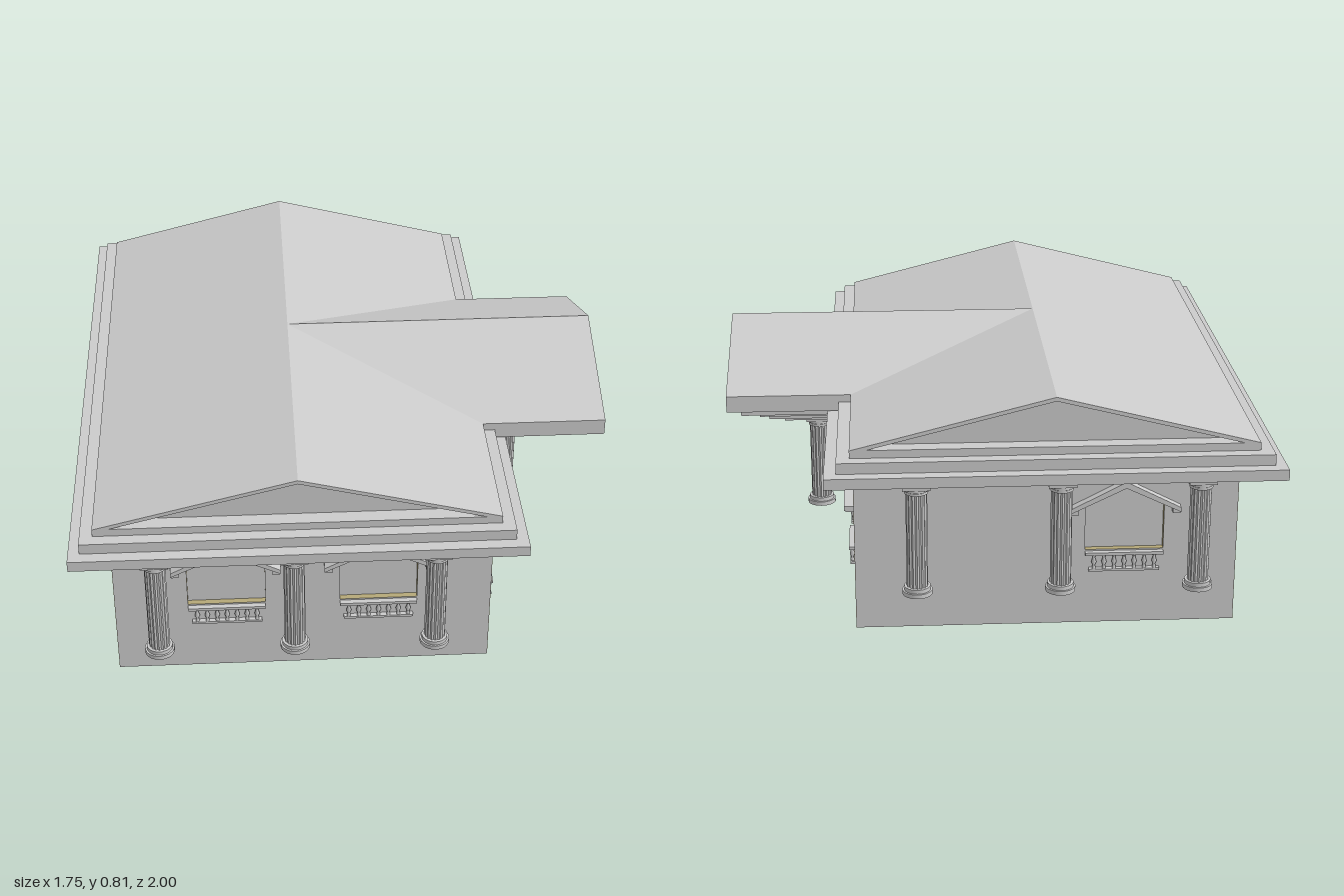
import * as THREE from 'three';

const mat = (color) => new THREE.MeshStandardMaterial({ color, side: THREE.DoubleSide });
const grey = mat(0xcccccc), tan = mat(0xb5a878), brown = mat(0x755642), dark = mat(0x4a3c30);
const CX = -0.1525; // centre of the house body in x

function add(parent, name, geo, material = grey, x = 0, y = 0, z = 0) {
  const m = new THREE.Mesh(geo, material);
  m.name = name;
  m.position.set(x, y, z);
  parent.add(m);
  return m;
}

// box given by its limits
const slab = (parent, name, x0, x1, y0, y1, z0, z1, material) =>
  add(parent, name, new THREE.BoxGeometry(x1 - x0, y1 - y0, z1 - z0), material,
    (x0 + x1) / 2, (y0 + y1) / 2, (z0 + z1) / 2);

const poly = (pts) => new THREE.Shape(pts.map(([x, y]) => new THREE.Vector2(x, y)));
const prism = (shape, depth) => new THREE.ExtrudeGeometry(shape, { depth, bevelEnabled: false });

// five-sided outline of a window opening
const opening = (w) => [[-w, 0.255], [w, 0.255], [w, 0.41], [0, 0.474], [-w, 0.41]];

// window with pane, gabled hood and balustrade; local z = 0 is the wall face
function makeWindow({ w, s, balusters }) {
  const g = new THREE.Group();
  g.name = 'window';
  add(g, 'windowPane', new THREE.ShapeGeometry(poly(opening(w))), mat(0xdcdcdc), 0, 0, -0.02);
  const hood = poly([[-s, 0.39], [-s, 0.405], [0, 0.495], [s, 0.405], [s, 0.39], [0, 0.474]]);
  add(g, 'windowHood', prism(hood, 0.03), grey);
  for (const k of [-1, 1]) {
    const x = k * (s - 0.014);
    slab(g, 'hoodBracket', x - 0.012, x + 0.012, 0.385, 0.405, 0, 0.026);
  }
  const b = w * 0.9;
  slab(g, 'topRail', -b - 0.012, b + 0.012, 0.24, 0.25, 0, 0.018);
  slab(g, 'bottomRail', -b, b, 0.185, 0.193, 0, 0.016);
  const profile = [[0.006, 0], [0.006, 0.006], [0.004, 0.012], [0.0085, 0.024], [0.004, 0.038], [0.006, 0.047]]
    .map(([x, y]) => new THREE.Vector2(x, y));
  for (let i = 0; i < balusters; i++) {
    const x = (-1 + 2 * (i + 0.5) / balusters) * b;
    add(g, 'baluster', new THREE.LatheGeometry(profile, 10), grey, x, 0.193, 0.009);
  }
  return g;
}

// wall panel with openings, its outer face turned outward by angle
function makeWall(parent, name, half, dist, angle, type, positions, hasDoor) {
  const g = new THREE.Group();
  g.name = name;
  g.rotation.y = angle;
  g.position.set(CX + Math.sin(angle) * dist, 0, Math.cos(angle) * dist);
  const e = half - 0.001;
  const shape = poly([[-e, 0], [e, 0], [e, 0.56], [-e, 0.56]]);
  for (const u of positions) {
    shape.holes.push(poly(opening(type.w).map(([x, y]) => [x + u, y])));
    const win = makeWindow(type);
    win.position.x = u;
    g.add(win);
  }
  if (hasDoor) {
    shape.holes.push(poly([[-0.117, 0.18], [0.117, 0.18], [0.117, 0.402], [-0.117, 0.402]]));
    slab(g, 'doorPanels', -0.115, 0.115, 0.18, 0.345, -0.03, -0.018, brown);
    slab(g, 'doorGlass', -0.115, 0.115, 0.345, 0.4, -0.03, -0.022, mat(0xdcdcdc));
    for (const x of [-0.114, 0, 0.114])
      slab(g, 'doorStile', x - 0.003, x + 0.003, 0.18, 0.4, -0.03, -0.014, dark);
    for (const y of [0.345, 0.398])
      slab(g, 'doorRail', -0.115, 0.115, y - 0.003, y + 0.003, -0.03, -0.014, dark);
  }
  add(g, 'wallPanel', prism(shape, 0.03), [grey, tan], 0, 0, -0.03);
  parent.add(g);
}

// fluted column from y0 to y1
function makeColumn(parent, x, z, y0, y1) {
  const g = new THREE.Group();
  g.name = 'column';
  g.position.set(x, y0, z);
  const h = y1 - y0, n = 64, pts = [];
  for (let i = 0; i < n; i++) {
    const a = i / n * Math.PI * 2, r = 0.0315 + 0.0018 * Math.cos(a * 16);
    pts.push([r * Math.cos(a), r * Math.sin(a)]);
  }
  const shaft = add(g, 'columnShaft', prism(poly(pts), h - 0.04), grey, 0, 0.02, 0);
  shaft.rotation.x = -Math.PI / 2;
  const ring = (name, r, y, t) =>
    add(g, name, new THREE.CylinderGeometry(r, r, t, 28), grey, 0, y, 0);
  ring('columnPlinth', 0.047, 0.007, 0.014);
  ring('columnBase', 0.041, 0.02, 0.014);
  ring('columnNeck', 0.037, h - 0.03, 0.008);
  ring('columnEchinus', 0.04, h - 0.019, 0.01);
  slab(g, 'columnAbacus', -0.043, 0.043, h - 0.014, h, -0.043, 0.043);
  parent.add(g);
}

export function createModel() {
  const model = new THREE.Group();
  model.name = 'house';

  // body
  const wide = { w: 0.125, s: 0.175, balusters: 7 };
  const narrow = { w: 0.085, s: 0.122, balusters: 5 };
  const HX = 0.6075, HZ = 0.81;
  makeWall(model, 'frontWall', HX, HZ, 0, wide, [-0.2475, 0.2425], false);
  makeWall(model, 'backWall', HX, HZ, Math.PI, wide, [0.2475], false);
  makeWall(model, 'entranceWall', HZ, HX, Math.PI / 2, narrow, [-0.65, -0.325, 0.325, 0.65], true);
  makeWall(model, 'plainWall', HZ, HX, -Math.PI / 2, narrow, [], false);
  slab(model, 'floor', -0.735, 0.43, 0.004, 0.02, -0.785, 0.785);

  // stepped eaves: x0, x1, y0, y1, half depth
  for (const [x0, x1, y0, y1, z] of [
    [-0.81, 0.48, 0.533, 0.545, 0.87],
    [-0.835, 0.505, 0.545, 0.556, 0.9],
    [-0.875, 0.54, 0.555, 0.59, 1],
    [-0.84, 0.502, 0.59, 0.625, 0.96],
    [-0.8, 0.462, 0.625, 0.65, 0.92],
  ]) slab(model, 'eaveStep', x0, x1, y0, y1, -z, z);

  // main gable roof with recessed end triangles
  const rx = -0.169, rw = 0.631;
  add(model, 'mainRoof', prism(poly([[-rw, 0.65], [0, 0.81], [rw, 0.65], [rw - 0.05, 0.65],
    [0, 0.797], [-rw + 0.05, 0.65]]), 1.84), grey, rx, 0, -0.92);
  add(model, 'gableWall', prism(poly([[-rw + 0.03, 0.649], [rw - 0.03, 0.649], [0, 0.802]]), 1.74),
    grey, rx, 0, -0.87);

  // entrance gable roof, extruded along x
  const porch = new THREE.Group();
  porch.name = 'porchRoof';
  porch.rotation.y = Math.PI / 2;
  porch.position.x = rx;
  model.add(porch);
  const outer = poly([[-0.41, 0.595], [0.41, 0.595], [0.41, 0.65], [0, 0.81], [-0.41, 0.65]]);
  outer.holes.push(poly([[-0.385, 0.63], [0.385, 0.63], [0, 0.787]]));
  add(porch, 'porchGableFrame', prism(outer, 0.87 - rx));
  add(porch, 'porchPediment', prism(poly([[-0.39, 0.628], [0.39, 0.628], [0, 0.79]]), 0.82 - rx));

  // stepped porch ceiling: x0, x1, y0, y1, half width
  for (const [x0, x1, y0, y1, z] of [
    [0.4, 0.83, 0.55, 0.596, 0.32],
    [0.44, 0.77, 0.538, 0.55, 0.3],
    [0.46, 0.74, 0.522, 0.538, 0.28],
    [0.52, 0.69, 0.505, 0.522, 0.25],
  ]) slab(model, 'porchCeilingStep', x0, x1, y0, y1, -z, z);

  // columns at both ends and at the entrance
  for (const k of [-1, 1]) {
    for (const x of [-0.615, -0.185, 0.26]) makeColumn(model, x, k * 0.945, 0.183, 0.555);
    makeColumn(model, 0.575, k * 0.19, 0.183, 0.505);
  }
  return model;
}
